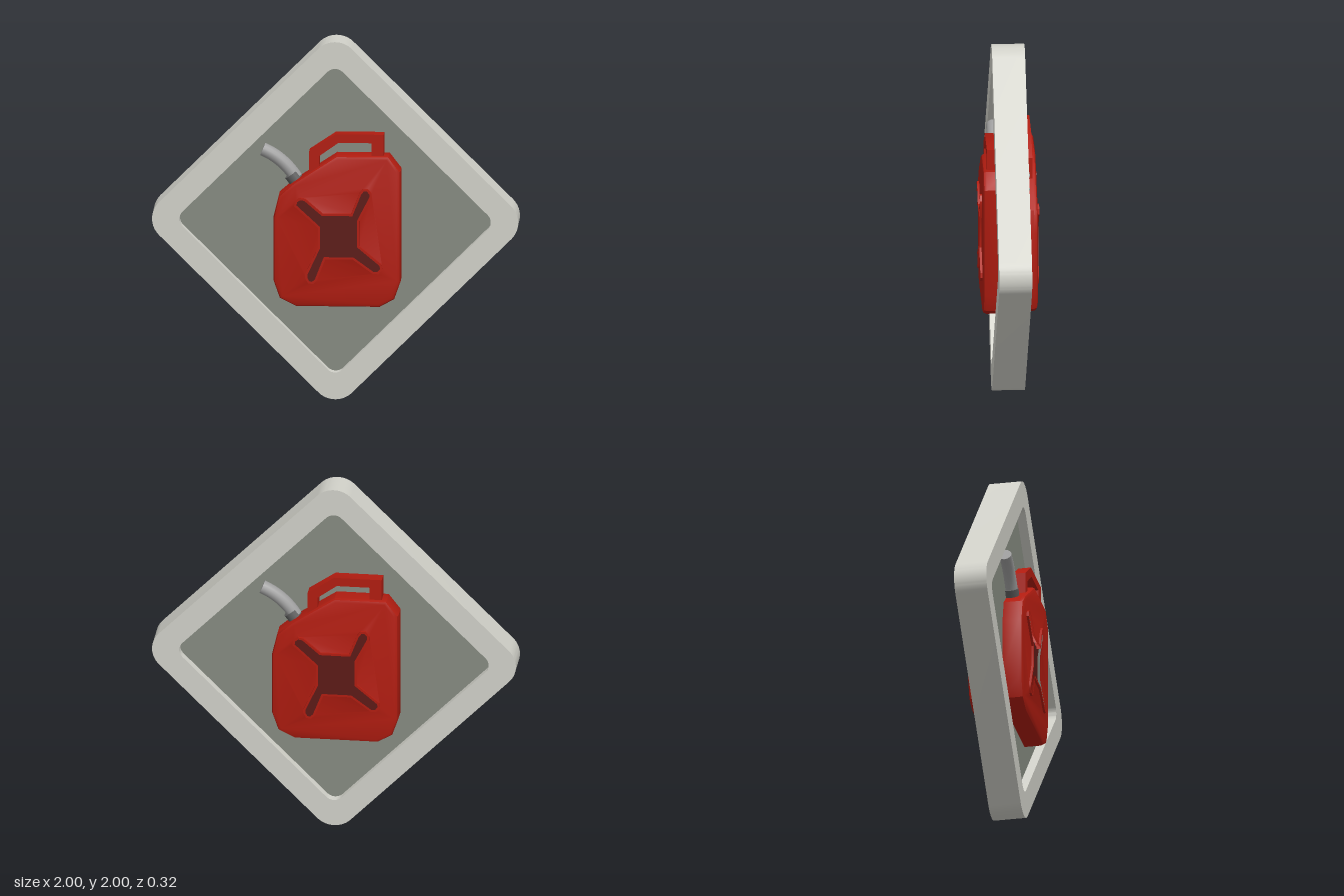
import * as THREE from 'three';
import { toCreasedNormals } from 'three/addons/utils/BufferGeometryUtils.js';

const mat = (color, side = THREE.FrontSide) => new THREE.MeshStandardMaterial({ color, side });
const frameMat = mat(0xd0d0c8), panelMat = mat(0x858a80), redMat = mat(0xb01c10);
const darkMat = mat(0x5c1a17), spoutMat = mat(0xa0a0a0, THREE.DoubleSide), collarMat = mat(0x606060);

const toPoints = (list) => list.map(([x, y]) => new THREE.Vector2(x, y));

// Moves every edge of a clockwise outline inward by d.
function inset(pts, d) {
  return pts.map((p, i) => {
    const a = pts[(i + pts.length - 1) % pts.length], b = pts[(i + 1) % pts.length];
    const u = p.clone().sub(a).normalize(), v = b.clone().sub(p).normalize();
    const n1 = new THREE.Vector2(u.y, -u.x), n2 = new THREE.Vector2(v.y, -v.x);
    return p.clone().add(n1.clone().add(n2).multiplyScalar(d / (1 + n1.dot(n2))));
  });
}

// Square standing on its corner, with rounded corners.
function diamond(tip, r) {
  const s = new THREE.Shape(), c = tip - r;
  for (let i = 0; i < 4; i++) {
    const a = i * Math.PI / 2;
    s.absarc(Math.cos(a) * c, Math.sin(a) * c, r, a - Math.PI / 4, a + Math.PI / 4, false);
  }
  s.closePath();
  return s;
}

function slab(name, shape, z0, z1, material, bevel = 0) {
  const geo = new THREE.ExtrudeGeometry(shape, {
    depth: z1 - z0 - bevel, curveSegments: 10, bevelEnabled: bevel > 0,
    bevelThickness: bevel, bevelSize: bevel, bevelSegments: 2,
  });
  geo.translate(0, 0, z0);
  const mesh = new THREE.Mesh(toCreasedNormals(geo, 0.6), material);
  mesh.name = name;
  return mesh;
}

const bodyOutline = toPoints([
  [0.01, 1.375], [0.295, 1.375], [0.36, 1.29], [0.36, 0.675], [0.325, 0.575], [0.245, 0.53],
  [-0.21, 0.53], [-0.3, 0.575], [-0.335, 0.675], [-0.335, 1.025], [-0.305, 1.15], [-0.225, 1.22],
]);

const crossOutline = toPoints([
  [-0.065, 1.055], [0.09, 1.055],
  [0.135, 1.17], [0.155, 1.195], [0.182, 1.195], [0.203, 1.17], [0.203, 1.147],
  [0.135, 1.015], [0.135, 0.875],
  [0.257, 0.773], [0.262, 0.746], [0.24, 0.72], [0.21, 0.72],
  [0.1, 0.8], [-0.05, 0.8],
  [-0.096, 0.682], [-0.118, 0.66], [-0.145, 0.665], [-0.16, 0.692], [-0.16, 0.714],
  [-0.09, 0.865], [-0.09, 0.975],
  [-0.22, 1.095], [-0.215, 1.125], [-0.19, 1.142], [-0.16, 1.137],
]);

const handleOutline = toPoints([
  [-0.14, 1.24], [-0.14, 1.395], [0.005, 1.493], [0.267, 1.493], [0.267, 1.34], [0.2, 1.34],
  [0.2, 1.445], [0.02, 1.445], [-0.085, 1.37], [-0.085, 1.26],
]);

function makeSpout() {
  const spout = new THREE.Group();
  spout.name = 'spout';
  const z = 0.066;
  // Curved pipe
  const curve = new THREE.QuadraticBezierCurve3(
    new THREE.Vector3(-0.215, 1.235, z), new THREE.Vector3(-0.285, 1.345, z), new THREE.Vector3(-0.397, 1.392, z));
  const pipe = new THREE.Mesh(new THREE.TubeGeometry(curve, 12, 0.037, 16), spoutMat);
  pipe.name = 'spoutPipe';
  // Closed end of the pipe
  const end = new THREE.Mesh(new THREE.CircleGeometry(0.037, 16), spoutMat);
  end.name = 'spoutEnd';
  end.position.copy(curve.getPoint(1));
  end.quaternion.setFromUnitVectors(new THREE.Vector3(0, 0, 1), curve.getTangent(1));
  // Collar where the pipe meets the can
  const collar = new THREE.Mesh(new THREE.CylinderGeometry(0.043, 0.043, 0.06, 16), collarMat);
  collar.name = 'spoutCollar';
  collar.position.set(-0.222, 1.232, z);
  collar.rotation.z = 0.65;
  spout.add(pipe, end, collar);
  return spout;
}

function makeCan() {
  const can = new THREE.Group();
  can.name = 'fuelCan';

  // Body with a chamfered edge and a cross-shaped pocket
  const body = new THREE.Shape(inset(bodyOutline, 0.02));
  body.holes.push(new THREE.Path(crossOutline));
  can.add(slab('canBody', body, 0.03, 0.15, redMat, 0.02));

  // Raised rim and dark floor of the pocket
  const rim = new THREE.Shape(crossOutline);
  rim.holes.push(new THREE.Path(inset(crossOutline, 0.012)));
  can.add(slab('crossRim', rim, 0.13, 0.162, redMat));
  can.add(slab('crossFloor', new THREE.Shape(crossOutline), 0.05, 0.137, darkMat));

  can.add(slab('handle', new THREE.Shape(handleOutline), 0.055, 0.127, redMat));
  can.add(makeSpout());
  return can;
}

export function createModel() {
  const model = new THREE.Group();
  model.name = 'fuelSign';

  // Frame around a recessed panel
  const frame = diamond(1, 0.13);
  frame.holes.push(diamond(0.85, 0.06));
  const board = new THREE.Group();
  board.name = 'signBoard';
  board.add(slab('frame', frame, -0.09, 0.09, frameMat));
  board.add(slab('panel', diamond(0.87, 0.06), -0.04, 0.04, panelMat));
  board.position.y = 1;
  model.add(board);

  // The same can on the front and on the back
  for (const turn of [0, Math.PI]) {
    const can = makeCan();
    can.rotation.y = turn;
    model.add(can);
  }
  return model;
}
